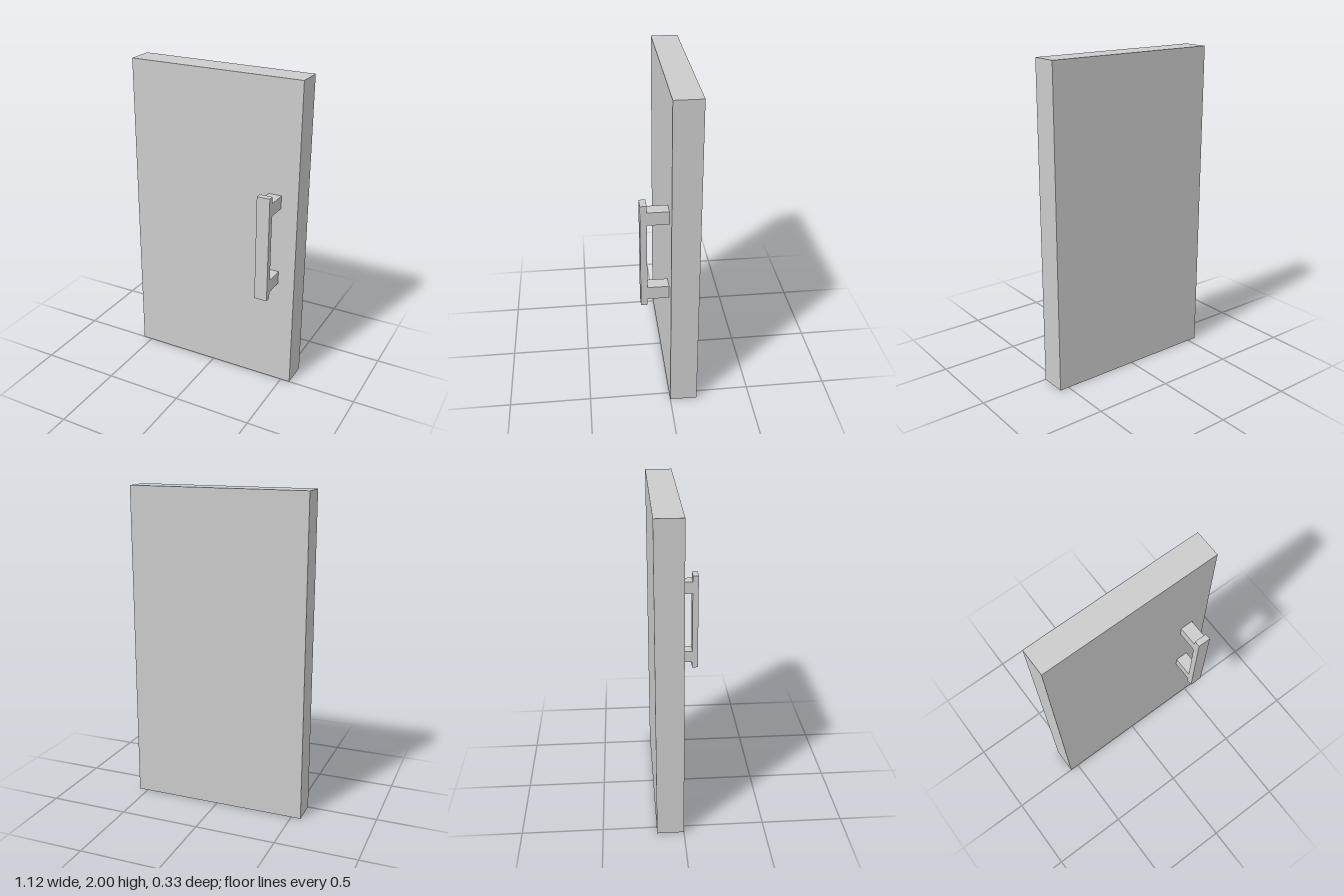
import * as THREE from 'three';

export function createModel() {
  const group = new THREE.Group();
  const material = new THREE.MeshStandardMaterial({ color: 0xcccccc, flatShading: true });

  // Box given by its lower and upper limits on each axis
  const addBox = (name, [x0, x1], [y0, y1], [z0, z1], parent = group) => {
    const mesh = new THREE.Mesh(new THREE.BoxGeometry(x1 - x0, y1 - y0, z1 - z0), material);
    mesh.name = name;
    mesh.position.set((x0 + x1) / 2, (y0 + y1) / 2, (z0 + z1) / 2);
    parent.add(mesh);
  };

  // Door slab
  addBox('doorPanel', [-0.56, 0.56], [0, 2], [-0.167, 0]);

  // Pull handle: flat upright grip on two square posts
  const handle = new THREE.Group();
  handle.name = 'handle';
  group.add(handle);
  const width = [0.371, 0.453];
  addBox('handleGrip', width, [0.667, 1.339], [0.128, 0.167], handle);
  addBox('lowerHandlePost', width, [0.709, 0.791], [0, 0.128], handle);
  addBox('upperHandlePost', width, [1.215, 1.297], [0, 0.128], handle);

  return group;
}
